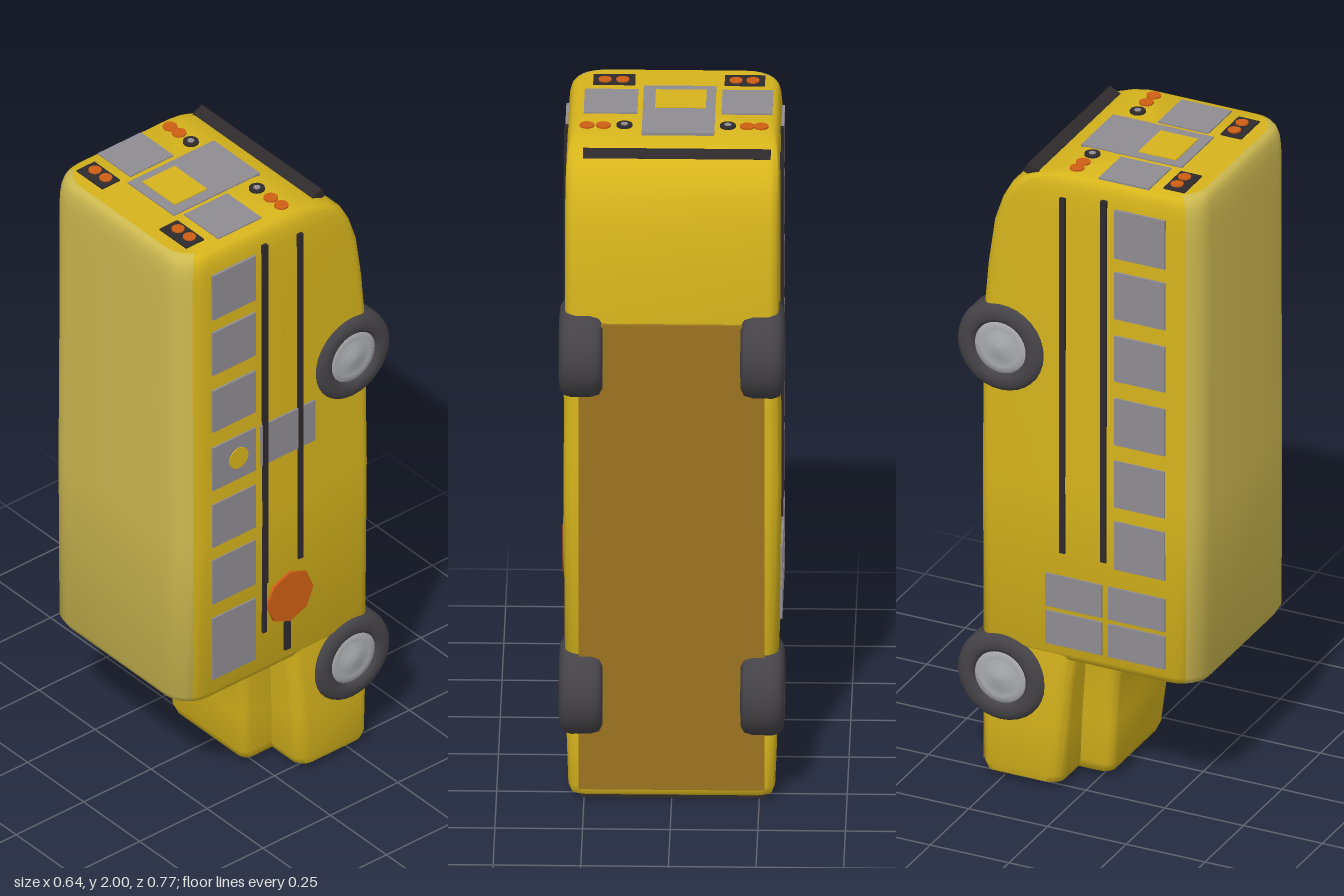
import * as THREE from 'three';
import { toCreasedNormals } from 'three/addons/utils/BufferGeometryUtils.js';

const mat = (color) => new THREE.MeshStandardMaterial({ color });
const YELLOW = mat(0xd6b41c), ROOF = mat(0xcdb950), BROWN = mat(0x9c7420), GLASS = mat(0x8f8b92);
const DARK = mat(0x2f2a2c), RUBBER = mat(0x454347), HUB = mat(0xa9abad), ORANGE = mat(0xcf5f14);

function add(group, name, geometry, material, x = 0, y = 0, z = 0) {
  const mesh = new THREE.Mesh(geometry, material);
  mesh.name = name;
  mesh.position.set(x, y, z);
  group.add(mesh);
  return mesh;
}

// Box given by its limits on each axis
function box(group, name, material, x0, x1, y0, y1, z0, z1) {
  return add(group, name, new THREE.BoxGeometry(x1 - x0, y1 - y0, z1 - z0), material,
    (x0 + x1) / 2, (y0 + y1) / 2, (z0 + z1) / 2);
}

// Rounded rectangle across the vehicle: radius r0 at the underside, r1 at the roof side
const ARC = 6;
function section(y, w, z0, z1, r0, r1) {
  const corners = [[w - r1, z1 - r1, r1], [r1 - w, z1 - r1, r1], [r0 - w, z0 + r0, r0], [w - r0, z0 + r0, r0]];
  const points = [];
  corners.forEach(([cx, cz, r], q) => {
    for (let i = 0; i <= ARC; i++) {
      const a = (q + i / ARC) * Math.PI / 2;
      points.push([cx + r * Math.cos(a), y, cz + r * Math.sin(a)]);
    }
  });
  return points;
}

// Skin over the sections, for columns from..to; optional end caps
function loft(rings, from, to, caps) {
  const pos = [], n = rings[0].length;
  for (let i = 0; i < rings.length - 1; i++) {
    for (let j = from; j < to; j++) {
      const a = rings[i][j % n], b = rings[i][(j + 1) % n];
      const d = rings[i + 1][j % n], c = rings[i + 1][(j + 1) % n];
      pos.push(...a, ...d, ...b, ...b, ...d, ...c);
    }
  }
  if (caps) {
    [rings[0], rings[rings.length - 1]].forEach((ring, top) => {
      const mid = [0, ring[0][1], (ring[0][2] + ring[n - 1][2]) / 2];
      for (let j = 0; j < n; j++) {
        const p = ring[j], q = ring[(j + 1) % n];
        pos.push(...mid, ...(top ? q : p), ...(top ? p : q));
      }
    });
  }
  const geo = new THREE.BufferGeometry();
  geo.setAttribute('position', new THREE.Float32BufferAttribute(pos, 3));
  return toCreasedNormals(geo, 0.8);
}

function buildBody(g) {
  // Passenger cabin: height, underside z, edge inset
  const cabin = [
    [0.424, -0.28, 0.03], [0.432, -0.3, 0.012], [0.455, -0.31, 0], [1.0, -0.312, -0.004], [1.5, -0.308, 0],
    [1.65, -0.295, 0], [1.79, -0.275, 0], [1.87, -0.248, 0], [1.92, -0.22, 0.001],
    [1.955, -0.18, 0.004], [1.975, -0.13, 0.009], [1.986, -0.09, 0.016], [1.992, -0.055, 0.028],
  ].map(([y, z, inset]) => section(y, 0.305 - inset, z, 0.382 - Math.max(inset, 0), 0.035, 0.085));
  add(g, 'roof', loft(cabin, 2, 11, false), ROOF);
  add(g, 'cabin', loft(cabin, 11, 30, true), YELLOW);

  // Low fenders and the raised hood between them
  const fenders = [
    [0.012, 0.27, -0.29, -0.085], [0.02, 0.287, -0.303, -0.068], [0.045, 0.295, -0.31, -0.058],
    [0.2, 0.3, -0.31, -0.045], [0.34, 0.303, -0.31, -0.03], [0.46, 0.3, -0.31, -0.015],
  ].map(([y, w, z0, z1]) => section(y, w, z0, z1, 0.03, 0.04));
  add(g, 'fenders', loft(fenders, 0, 28, true), YELLOW);
  const hood = [
    [0.012, 0.145, -0.25, 0.015], [0.022, 0.16, -0.25, 0.035], [0.05, 0.168, -0.25, 0.046],
    [0.2, 0.182, -0.25, 0.06], [0.35, 0.196, -0.25, 0.074], [0.41, 0.205, -0.25, 0.092], [0.44, 0.21, -0.25, 0.1],
  ].map(([y, w, z0, z1]) => section(y, w, z0, z1, 0.02, 0.03));
  add(g, 'hood', loft(hood, 0, 28, true), YELLOW);
  box(g, 'underside', BROWN, -0.265, 0.265, 0.04, 1.5, -0.318, -0.29);
}

function buildWheel(side, y) {
  const wheel = new THREE.Group();
  wheel.name = 'wheel';
  const profile = (list) => new THREE.LatheGeometry(list.map(([r, h]) => new THREE.Vector2(r, h)), 32);
  const tire = [[0, -0.065], [0.12, -0.065], [0.136, -0.055], [0.143, -0.03], [0.143, 0.025],
    [0.136, 0.045], [0.12, 0.057], [0.095, 0.06], [0.082, 0.05], [0.08, 0.035]];
  add(wheel, 'tire', profile(tire), RUBBER);
  add(wheel, 'hub', profile([[0.083, 0.035], [0.083, 0.045], [0.06, 0.05], [0.05, 0.045], [0.03, 0.055], [0, 0.058]]), HUB);
  wheel.rotation.z = -side * Math.PI / 2;
  wheel.position.set(side * 0.262, y, -0.243);
  return wheel;
}

function buildSide(g, side) {
  // Thin panel on the flank
  const panel = (name, material, y0, y1, z0, z1, out = 0.312) =>
    box(g, name, material, side > 0 ? 0.29 : -out, side > 0 ? out : -0.29, y0, y1, z0, z1);
  const windows = [[1.765, 1.92], [1.57, 1.72], [1.37, 1.515], [1.165, 1.315], [0.965, 1.115], [0.765, 0.92]];
  windows.forEach(([y0, y1]) => panel('sideWindow', GLASS, y0, y1, 0.12, 0.28));
  if (side > 0) {
    panel('driverWindow', GLASS, 0.5, 0.715, 0.12, 0.28);
    panel('emergencyDoor', GLASS, 1.17, 1.31, -0.1, 0.1);
    panel('lowerBar', DARK, 0.48, 0.58, -0.01, 0.012);
    const sign = add(g, 'stopSign', new THREE.CylinderGeometry(0.085, 0.085, 0.02, 8), ORANGE, 0.306, 0.665, -0.005);
    sign.rotation.z = Math.PI / 2;
    const knob = add(g, 'doorMark', new THREE.CylinderGeometry(0.035, 0.035, 0.02, 16), YELLOW, 0.305, 1.24, 0.185);
    knob.rotation.z = Math.PI / 2;
  } else {
    // Entry door with two leaves of glass
    for (const y of [0.48, 0.6]) {
      panel('doorGlassUpper', GLASS, y, y + 0.105, 0.1, 0.28);
      panel('doorGlassLower', GLASS, y, y + 0.105, -0.1, 0.08);
    }
  }
  panel('upperStripe', DARK, side > 0 ? 0.75 : 0.78, 1.94, 0.076, 0.094, 0.314);
  panel('lowerStripe', DARK, 0.78, 1.92, -0.055, -0.037, 0.314);
  if (side > 0) panel('upperStripeEnd', DARK, 0.58, 0.75, 0.08, 0.094, 0.314);
  for (const y of [0.336, 1.395]) g.add(buildWheel(side, y));
}

function buildRear(g) {
  const panel = (name, material, x0, x1, z0, z1, top = 1.996) => box(g, name, material, x0, x1, 1.975, top, z0, z1);
  panel('rearDoor', GLASS, -0.117, 0.09, -0.05, 0.24);
  panel('rearDoorTop', GLASS, -0.117, 0.09, -0.08, -0.05);
  panel('rearDoorPanel', YELLOW, -0.09, 0.055, 0.088, 0.208, 1.999);
  panel('rearWindow', GLASS, -0.28, -0.135, 0.055, 0.215);
  panel('rearWindow', GLASS, 0.105, 0.258, 0.055, 0.215);
  const bumper = box(g, 'rearBumper', DARK, -0.28, 0.255, 1.95, 1.98, -0.18, -0.13);
  bumper.rotation.x = 0.45;
  const disc = (name, material, x, z, r, top = 2) =>
    add(g, name, new THREE.CylinderGeometry(r, r, 0.02, 16), material, x, top - 0.01, z);
  for (const x of [-0.25, -0.21, 0.2, 0.247]) disc('tailLight', ORANGE, x, -0.028, 0.021, 1.997);
  for (const x of [-0.155, 0.14]) {
    disc('lampRing', DARK, x, -0.026, 0.023, 1.998);
    disc('lampCenter', GLASS, x, -0.026, 0.01);
  }
  for (const [x0, x1] of [[-0.255, -0.14], [0.115, 0.235]]) {
    panel('upperLampHousing', DARK, x0, x1, 0.248, 0.315);
    for (const t of [0.3, 0.72]) disc('upperLamp', ORANGE, x0 + t * (x1 - x0), 0.275, 0.019);
  }
}

function buildNose(g) {
  box(g, 'frontBumper', DARK, -0.265, 0.265, 0, 0.03, -0.285, -0.24);
  box(g, 'grille', BROWN, -0.12, 0.12, 0.007, 0.03, -0.19, -0.02);
  for (const s of [-1, 1]) {
    add(g, 'headlight', new THREE.CylinderGeometry(0.035, 0.035, 0.02, 20), HUB, s * 0.205, 0.016, -0.15);
    // Split windshield above the hood
    box(g, 'windshield', GLASS, s * 0.135 - 0.12, s * 0.135 + 0.12, 0.419, 0.44, 0.12, 0.32);
  }
}

export function createModel() {
  const bus = new THREE.Group();
  bus.name = 'bus';
  buildBody(bus);
  for (const side of [-1, 1]) buildSide(bus, side);
  buildRear(bus);
  buildNose(bus);
  return bus;
}
